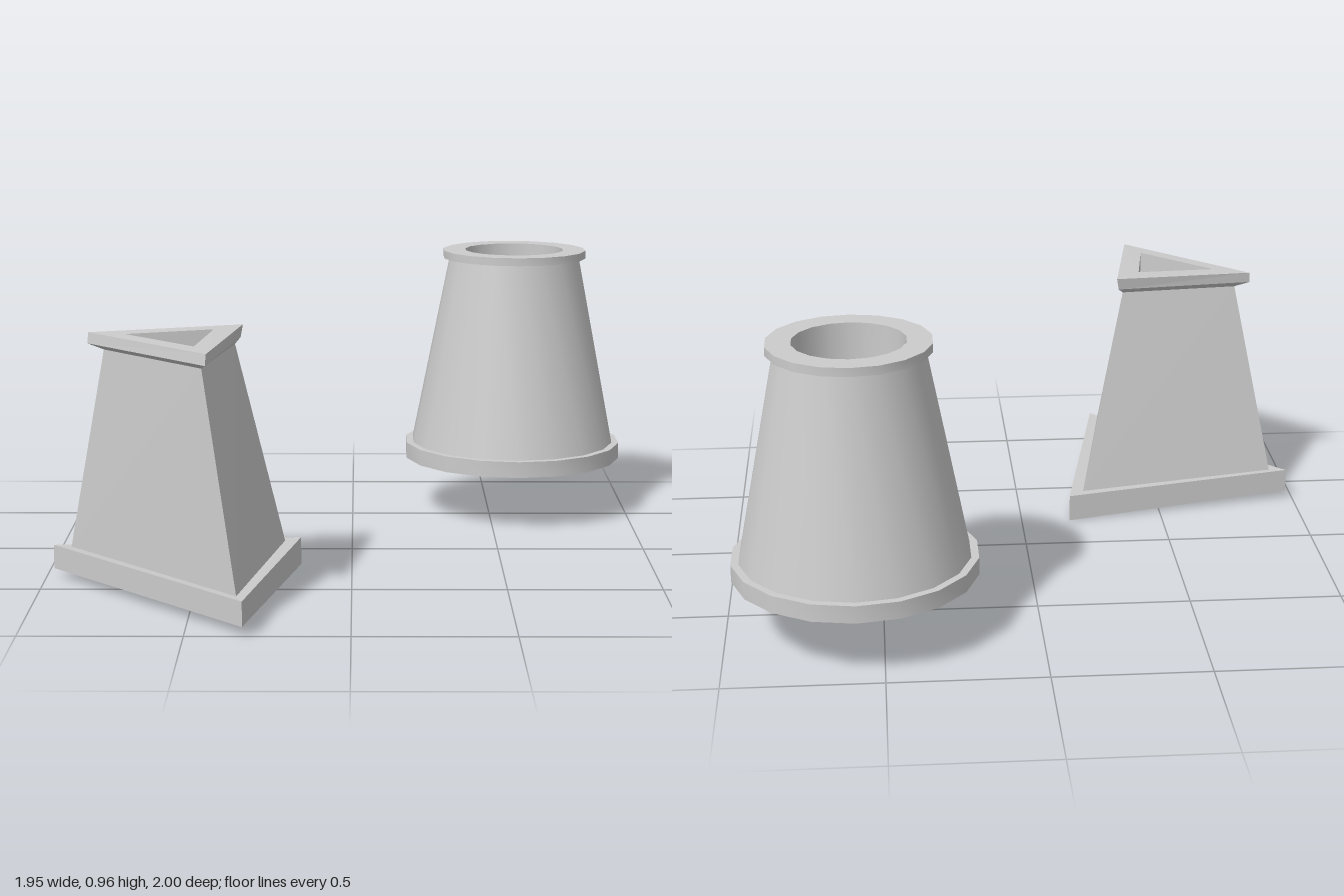
import * as THREE from 'three';
import { toCreasedNormals } from 'three/addons/utils/BufferGeometryUtils.js';

const material = new THREE.MeshStandardMaterial({ color: 0xcccccc, side: THREE.DoubleSide });

function addMesh(group, name, geometry) {
  const mesh = new THREE.Mesh(geometry, material);
  mesh.name = name;
  group.add(mesh);
}

// Turned shell, smooth around and sharp at the profile corners
function turned(profile) {
  const points = profile.map(([r, y]) => new THREE.Vector2(r, y));
  return toCreasedNormals(new THREE.LatheGeometry(points, 18), 0.6);
}

// Flat-faced shell through triangular rings, optionally closed at the last ring
function loft(rings, closed = false) {
  const out = [];
  for (let i = 0; i + 1 < rings.length; i++) {
    const p = rings[i], q = rings[i + 1];
    for (let a = 0; a < 3; a++) {
      const b = (a + 1) % 3;
      out.push(...p[a], ...p[b], ...q[b], ...p[a], ...q[b], ...q[a]);
    }
  }
  if (closed) out.push(...rings[rings.length - 1].flat());
  const geometry = new THREE.BufferGeometry();
  geometry.setAttribute('position', new THREE.Float32BufferAttribute(out, 3));
  geometry.computeVertexNormals();
  return geometry;
}

function createRoundPot() {
  const pot = new THREE.Group();
  pot.name = 'roundPot';
  pot.position.set(0.585, 0, -0.605);

  addMesh(pot, 'roundBase', turned([[0.393, 0.2], [0.393, 0.257], [0.368, 0.257]]));
  addMesh(pot, 'roundBody', turned([[0.368, 0.257], [0.235, 0.932]]));
  addMesh(pot, 'roundRim', turned([[0.235, 0.932], [0.258, 0.932], [0.258, 0.96], [0.178, 0.96]]));

  // Blind well with a rounded bottom
  const well = [[0.178, 0.96]];
  for (let i = 0; i <= 8; i++) {
    const t = (i / 8) * Math.PI / 2;
    well.push([i === 8 ? 0 : 0.178 * Math.cos(t), 0.5 - 0.165 * Math.sin(t)]);
  }
  addMesh(pot, 'roundWell', turned(well));
  return pot;
}

function createTriangularPot() {
  const pot = new THREE.Group();
  pot.name = 'triangularPot';

  // Corner order in each ring: inner corner, right corner, front corner
  const foot = [[-0.17, 0, 0.195], [-0.975, 0.028, 0.35], [-0.325, 0.028, 0.997]];
  const footTop = [[-0.17, 0.093, 0.195], [-0.975, 0.107, 0.35], [-0.325, 0.107, 0.997]];
  const bodyLow = [[-0.222, 0.093, 0.24], [-0.915, 0.105, 0.363], [-0.345, 0.105, 0.935]];
  const bodyTop = [[-0.372, 0.782, 0.398], [-0.782, 0.775, 0.465], [-0.45, 0.775, 0.803]];
  const rimLow = [[-0.355, 0.8, 0.375], [-0.835, 0.793, 0.455], [-0.435, 0.793, 0.86]];
  const rimTop = [[-0.348, 0.84, 0.368], [-0.832, 0.828, 0.452], [-0.432, 0.828, 0.855]];
  const hole = [[-0.435, 0.838, 0.455], [-0.71, 0.83, 0.5], [-0.477, 0.83, 0.73]];
  const floor = hole.map(([x, , z]) => [x, 0.29, z]);

  addMesh(pot, 'triangularBase', loft([foot, footTop, bodyLow]));
  addMesh(pot, 'triangularBody', loft([bodyLow, bodyTop]));
  addMesh(pot, 'triangularRim', loft([bodyTop, rimLow, rimTop, hole]));
  addMesh(pot, 'triangularWell', loft([hole, floor], true));
  return pot;
}

export function createModel() {
  const model = new THREE.Group();
  model.name = 'potPair';
  model.add(createRoundPot(), createTriangularPot());
  return model;
}
